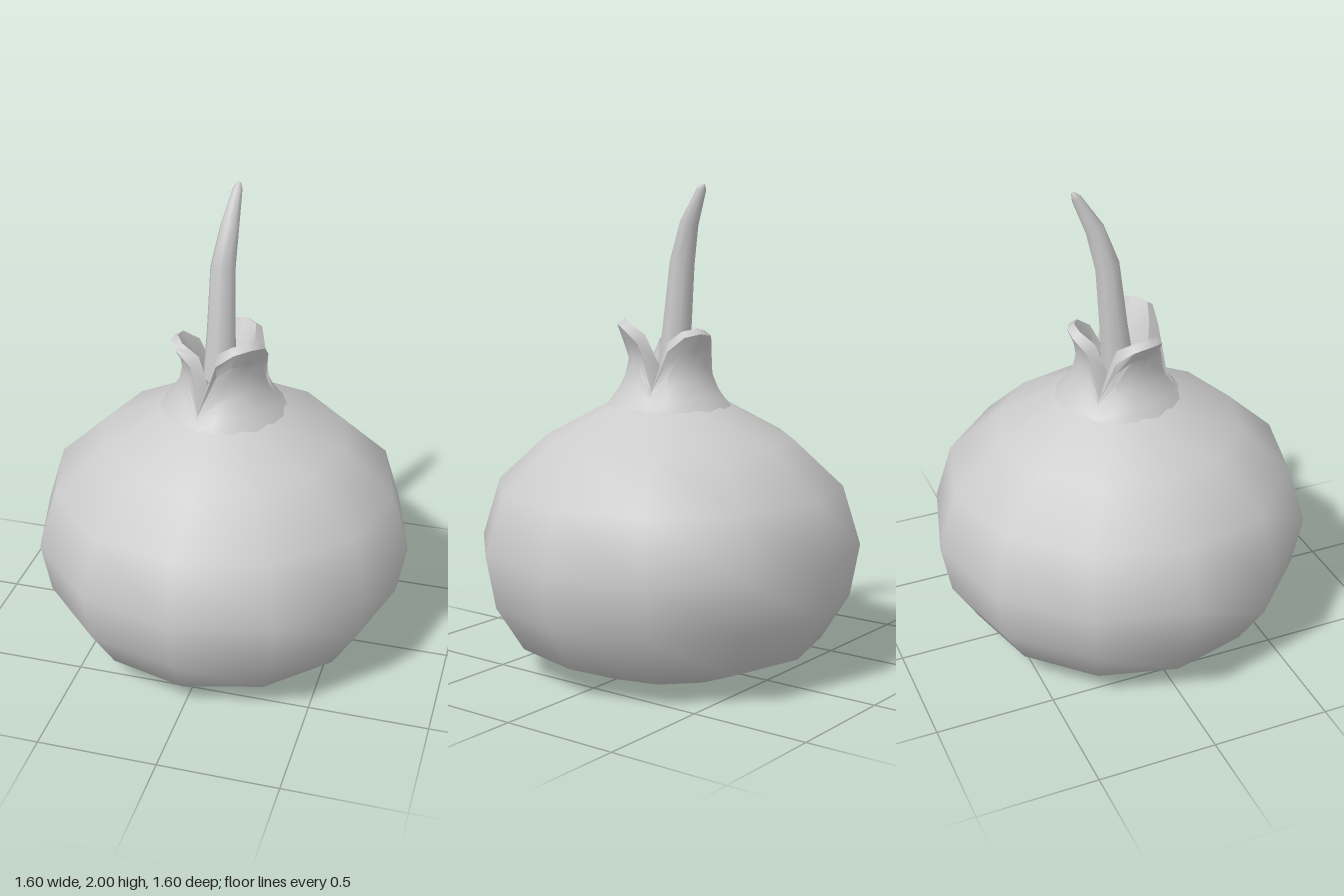
import * as THREE from 'three';
import { toCreasedNormals } from 'three/addons/utils/BufferGeometryUtils.js';

const lerp = THREE.MathUtils.lerp;

// Skin a stack of closed rings (each an array of Vector3, equal length)
function skin(rings) {
  const n = rings[0].length, index = [];
  for (let i = 0; i < rings.length - 1; i++) {
    for (let j = 0; j < n; j++) {
      const k = (j + 1) % n;
      const a = i * n + j, b = i * n + k, c = a + n, d = b + n;
      index.push(a, c, b, b, c, d);
    }
  }
  const geo = new THREE.BufferGeometry().setFromPoints(rings.flat());
  geo.setIndex(index);
  geo.computeVertexNormals();
  return geo;
}

// Outer neck radius at a height, flaring towards the petal tips
function neckRadius(y, flare) {
  const p = [[1.06, 0.29], [1.1, 0.255], [1.19, 0.19], [1.3, 0.165], [1.42, flare]];
  let i = 0;
  while (i < p.length - 2 && y > p[i + 1][0]) i++;
  const t = Math.min(1, (y - p[i][0]) / (p[i + 1][0] - p[i][0]));
  return lerp(p[i][1], p[i + 1][1], t);
}

// Neck that splits into three curled petals with V notches between them
function neckGeometry() {
  const petals = [
    { top: 1.41, flare: 0.235, notch: 1.15 },
    { top: 1.42, flare: 0.215, notch: 1.17 },
    { top: 1.45, flare: 0.215, notch: 1.19 },
  ];
  const rise = [0, 0.7, 0.95, 1, 0.95, 0.7];
  const columns = [];
  petals.forEach((petal, p) => rise.forEach((k, s) => {
    const angle = THREE.MathUtils.degToRad(105 + p * 120 + s * 20);
    const at = (r, y) => new THREE.Vector3(r * Math.cos(angle), y, r * Math.sin(angle));
    const edge = lerp(petal.notch, petal.top - 0.02, k);
    const column = [];
    let r = 0;
    // outside, bottom to lip
    for (let v = 0; v <= 5; v++) {
      const y = lerp(1.08, edge, v / 5);
      r = neckRadius(y, petal.flare) * (k === 0 ? 1 - 0.1 * v / 5 : 1);
      column.push(at(r, y));
    }
    // lip, inside wall and floor
    const innerY = edge + lerp(0.07, 0.02, k);
    const innerR = r - lerp(0.075, 0.03, k);
    column.push(at(innerR, innerY));
    column.push(at(Math.min(innerR, 0.115), lerp(1.19, innerY, 0.5)));
    column.push(at(0.07, 1.18), at(0, 1.17));
    columns.push(column);
  }));
  const rings = columns[0].map((_, i) => columns.map((c) => c[i]));
  return toCreasedNormals(skin(rings), 0.9);
}

// Tapered sprout bending backwards
function sproutGeometry() {
  const sections = [ // x, y, z, radius
    [-0.02, 1.16, 0, 0.075], [-0.02, 1.4, -0.025, 0.061], [-0.02, 1.68, -0.052, 0.052],
    [-0.005, 1.84, -0.098, 0.039], [0.008, 1.975, -0.168, 0.02],
    [0.01, 1.995, -0.18, 0.009], [0.01, 2, -0.182, 0],
  ];
  const rings = sections.map(([x, y, z, r], i) => {
    const tilt = Math.min(i, 4) * 0.12;
    return Array.from({ length: 8 }, (_, j) => {
      const a = (j / 8) * Math.PI * 2;
      const dz = r * Math.sin(a);
      return new THREE.Vector3(x + r * Math.cos(a), Math.min(2, y + dz * Math.sin(tilt)), z + dz * Math.cos(tilt));
    });
  });
  return skin(rings);
}

export function createModel() {
  const model = new THREE.Group();
  model.name = 'onion';
  const material = new THREE.MeshStandardMaterial({ color: 0xcccccc });
  const add = (name, geometry) => {
    const mesh = new THREE.Mesh(geometry, material);
    mesh.name = name;
    model.add(mesh);
  };

  // Squat twelve-sided bulb
  const profile = [
    [0, 0], [0.36, 0], [0.645, 0.115], [0.76, 0.3], [0.8, 0.52],
    [0.725, 0.765], [0.515, 0.96], [0.255, 1.1],
  ].map(([r, y]) => new THREE.Vector2(r, y));
  add('bulb', new THREE.LatheGeometry(profile, 12));
  add('neckPetals', neckGeometry());
  add('sprout', sproutGeometry());
  return model;
}
